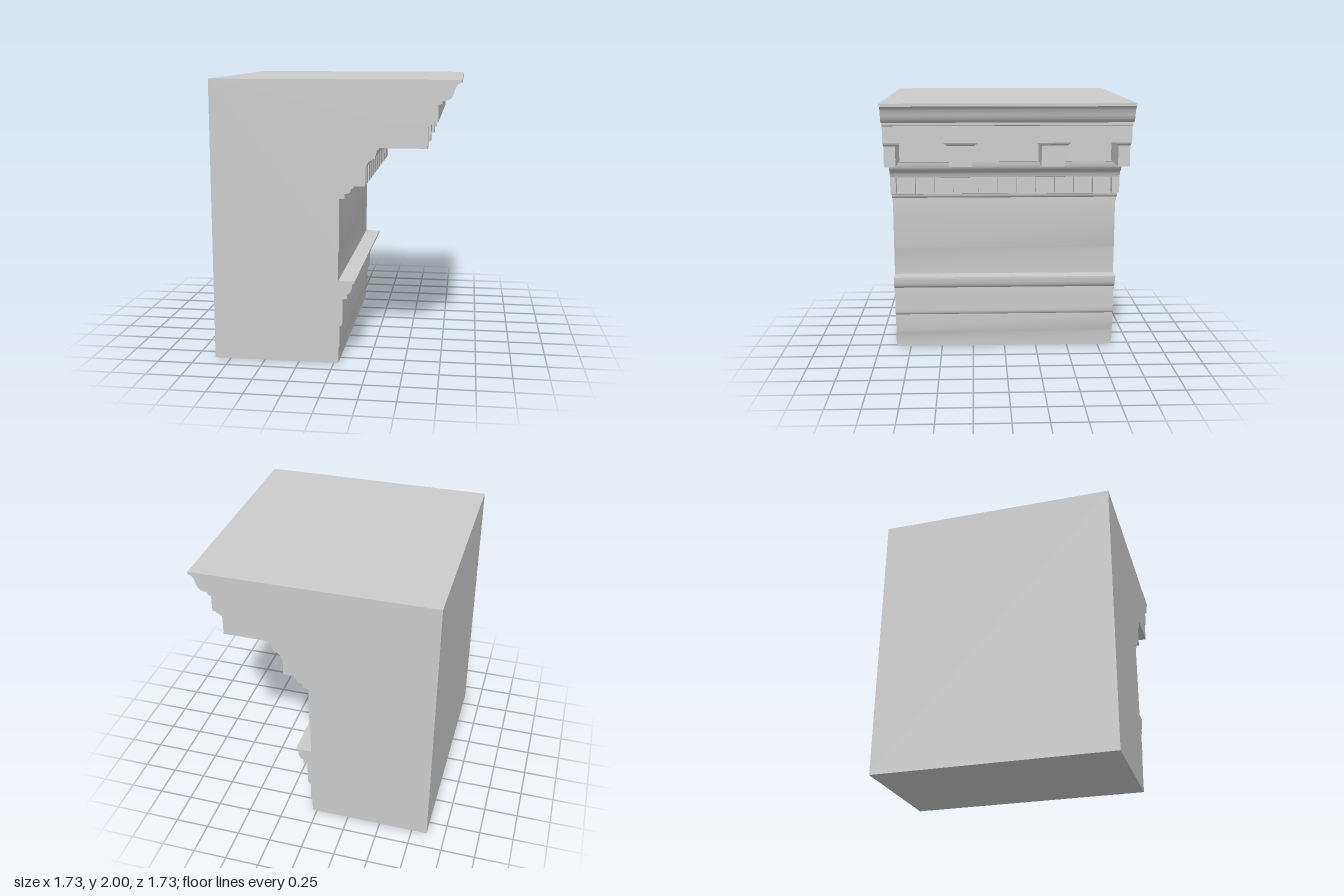
import * as THREE from 'three';
import { toCreasedNormals } from 'three/addons/utils/BufferGeometryUtils.js';

const HALF = 0.865; // half length of the run along z
const material = new THREE.MeshStandardMaterial({ color: 0xcccccc });
const clampZ = (z) => Math.max(-HALF, Math.min(HALF, z));

// Moulding profile in x/y: [x, y] is a line, six numbers are a bezier curve
const profile = [
  [0.033, 0], [0.033, 0.11], [0.043, 0.135], [0.043, 0.27],            // lower fascias
  [0.058, 0.275, 0.064, 0.29, 0.064, 0.315], [0.064, 0.47],            // upper fascia
  [0.095, 0.475], [0.095, 0.505],
  [0.125, 0.515, 0.13, 0.545, 0.135, 0.585], [0.15, 0.587], [0.15, 0.602], // architrave crown
  [0.033, 0.602], [0.033, 0.8], [0.039, 0.82], [0.039, 1.185],         // frieze
  [0.08, 1.187], [0.08, 1.22], [0.09, 1.222],
  [0.115, 1.223, 0.122, 1.235, 0.124, 1.255], [0.14, 1.26], [0.14, 1.4], // dentil band
  [0.22, 1.4], [0.225, 1.402],
  [0.235, 1.44, 0.245, 1.445, 0.26, 1.455],
  [0.285, 1.465, 0.295, 1.48, 0.298, 1.525], [0.315, 1.53], [0.315, 1.717], // bed mould
  [0.71, 1.717], [0.71, 1.835], [0.735, 1.842], [0.735, 1.86], [0.755, 1.862], // corona
  [0.79, 1.865, 0.802, 1.885, 0.812, 1.915],
  [0.822, 1.95, 0.832, 1.97, 0.85, 1.978], [0.865, 1.98], [0.865, 2],  // crown cyma
  [-0.865, 2],
];

function entablature() {
  const shape = new THREE.Shape();
  shape.moveTo(-0.865, 0);
  for (const p of profile) {
    if (p.length === 2) shape.lineTo(...p);
    else shape.bezierCurveTo(...p);
  }
  shape.closePath();
  const geometry = new THREE.ExtrudeGeometry(shape, {
    depth: HALF * 2, bevelEnabled: false, curveSegments: 10,
  });
  geometry.translate(0, 0, -HALF);
  return toCreasedNormals(geometry, 0.45);
}

// Box from wall x0 to x1, cut off at the ends of the run; flare widens its top
function block(name, x0, x1, y0, y1, centre, half, flare = 0) {
  const geometry = new THREE.BoxGeometry(1, 1, 1);
  const p = geometry.attributes.position;
  for (let i = 0; i < p.count; i++) {
    const up = p.getY(i) > 0;
    const grow = up ? flare : 0;
    const x = p.getX(i) > 0 ? x1 + grow : x0;
    const z = clampZ(centre + Math.sign(p.getZ(i)) * (half + grow));
    p.setXYZ(i, x, up ? y1 : y0, z);
  }
  const flat = geometry.toNonIndexed();
  flat.computeVertexNormals();
  const mesh = new THREE.Mesh(flat, material);
  mesh.name = name;
  return mesh;
}

export function createModel() {
  const model = new THREE.Group();
  model.name = 'entablature';

  const body = new THREE.Mesh(entablature(), material);
  body.name = 'mouldedBody';
  model.add(body);

  // Row of dentils, with cut ones at both ends
  const dentils = new THREE.Group();
  dentils.name = 'dentils';
  for (let k = -6; k <= 6; k++) {
    dentils.add(block('dentil', 0.13, 0.22, 1.275, 1.401, 0.007 + k * 0.1442, 0.049));
  }
  model.add(dentils);

  // Modillions with moulded caps; the end ones are halves
  for (const z of [0.867, 0.327, -0.325, -0.865]) {
    const modillion = new THREE.Group();
    modillion.name = 'modillion';
    modillion.add(
      block('modillionBlock', 0.3, 0.643, 1.54, 1.71, z, 0.083),
      block('modillionCapLower', 0.3, 0.655, 1.69, 1.703, z, 0.095, 0.012),
      block('modillionCapUpper', 0.3, 0.68, 1.703, 1.718, z, 0.112, 0.008),
    );
    model.add(modillion);
  }
  return model;
}
